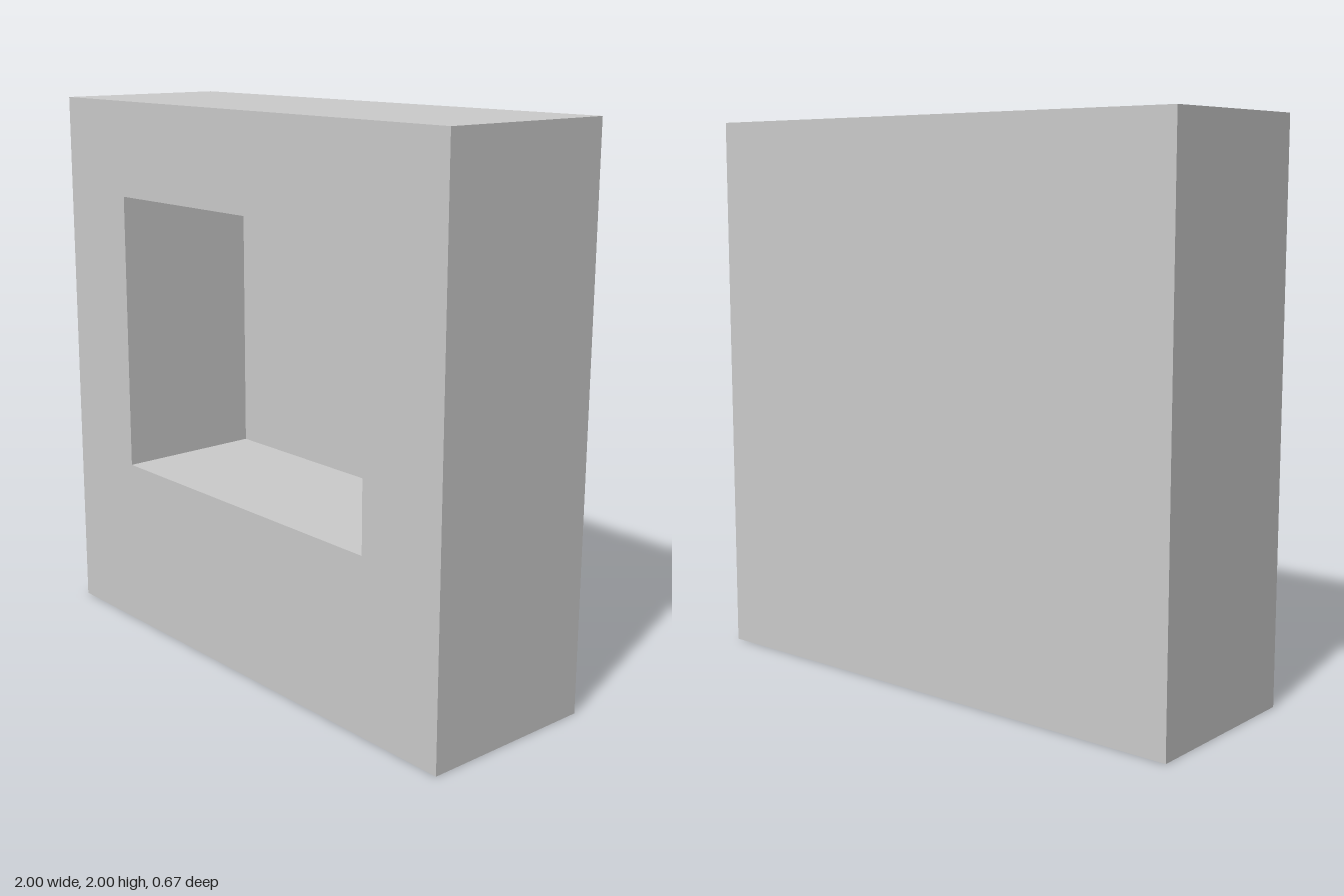
import * as THREE from 'three';

// Rectangle loop, counter-clockwise seen from the front
const loop = (halfW, y0, y1, z) => [
  [-halfW, y0, z], [halfW, y0, z], [halfW, y1, z], [-halfW, y1, z],
];

export function createModel() {
  const D = 0.333; // half depth of the block
  const recessZ = -0.222; // floor of the recess

  // Sections from the back face, over the front rim, into the recess
  const sections = [
    loop(1, 0, 2, -D),
    loop(1, 0, 2, D),
    loop(0.65, 0.63, 1.655, D),
    loop(0.65, 0.63, 1.655, recessZ),
  ];

  const positions = [];
  const quad = (a, b, c, d) => positions.push(...a, ...b, ...c, ...a, ...c, ...d);

  // Outer sides, front rim and recess walls
  for (let s = 0; s < sections.length - 1; s++) {
    const a = sections[s], b = sections[s + 1];
    for (let i = 0; i < 4; i++) {
      const j = (i + 1) % 4;
      quad(a[i], a[j], b[j], b[i]);
    }
  }
  // Recess floor and closed back
  quad(...sections[3]);
  quad(...[...sections[0]].reverse());

  const geometry = new THREE.BufferGeometry();
  geometry.setAttribute('position', new THREE.Float32BufferAttribute(positions, 3));
  geometry.computeVertexNormals();

  const block = new THREE.Mesh(
    geometry,
    new THREE.MeshStandardMaterial({ color: 0xcccccc, flatShading: true }),
  );
  block.name = 'recessedBlock';

  const group = new THREE.Group();
  group.name = 'blockWithRecess';
  group.add(block);
  return group;
}
